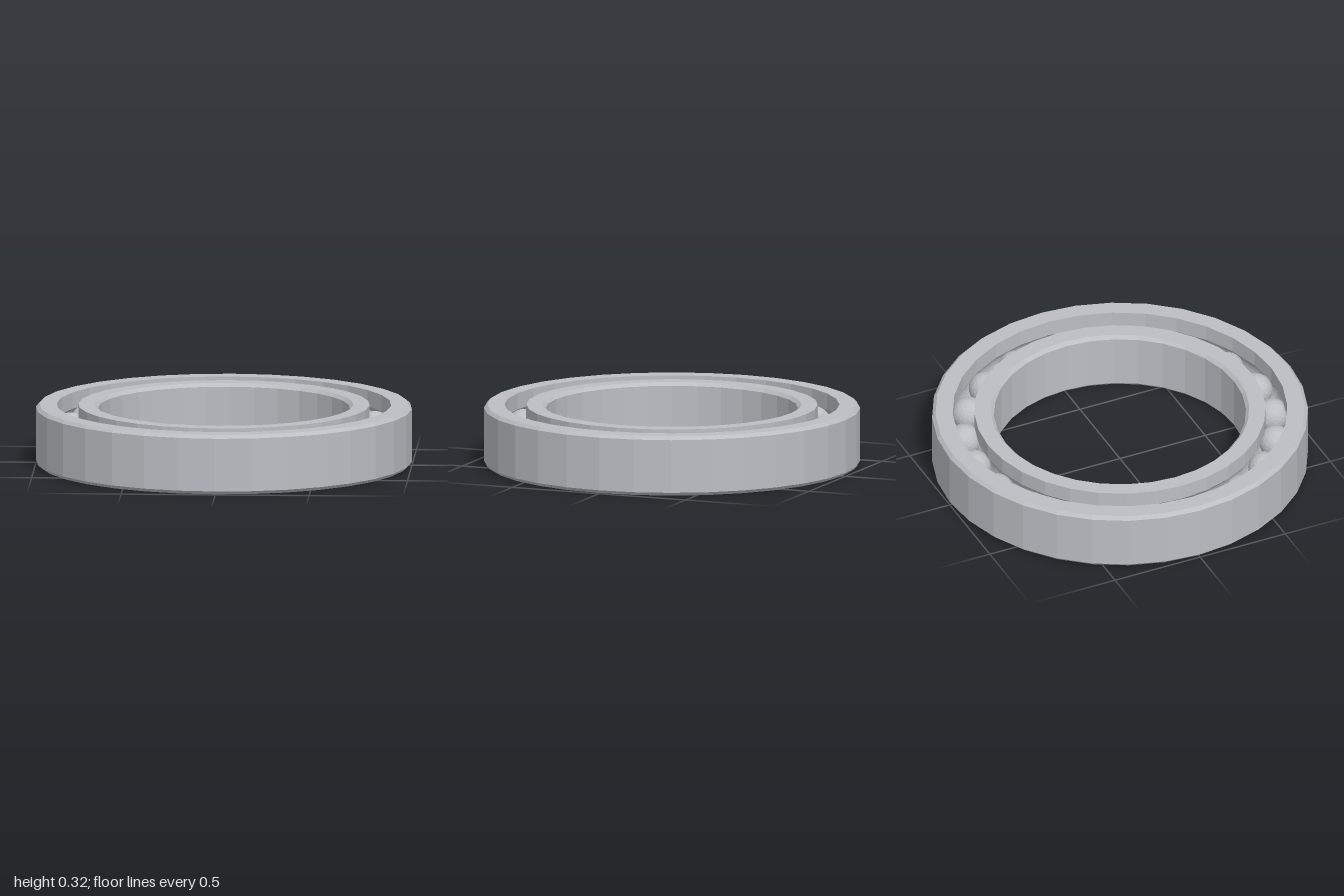
import * as THREE from 'three';

const HEIGHT = 0.32, MID = HEIGHT / 2, CHAMFER = 0.018;
const PITCH = 0.83, BALL_RADIUS = 0.089, GROOVE_RADIUS = 0.094, BALLS = 21;

// Raceway arc cut into the wall at radius r; dir = +1 runs upwards, -1 downwards
function raceway(r, dir) {
  const side = Math.sign(r - PITCH);
  const half = Math.acos(Math.abs(r - PITCH) / GROOVE_RADIUS);
  const points = [];
  for (let i = 0; i <= 8; i++) {
    const a = dir * half * (i / 4 - 1);
    points.push([PITCH + side * GROOVE_RADIUS * Math.cos(a), MID + GROOVE_RADIUS * Math.sin(a)]);
  }
  return points;
}

// Closed counter-clockwise profile turned into a faceted ring
function ring(name, profile, material) {
  const points = [...profile, profile[0]].map(([r, y]) => new THREE.Vector2(r, y));
  const mesh = new THREE.Mesh(new THREE.LatheGeometry(points, 32), material);
  mesh.name = name;
  return mesh;
}

export function createModel() {
  const group = new THREE.Group();
  group.name = 'ballBearing';
  const steel = new THREE.MeshStandardMaterial({ color: 0xbcbec4, flatShading: true });
  steel.name = 'steel';

  // Outer ring: chamfered rim outside, raceway inside
  const lip = 0.89;
  group.add(ring('outerRing', [
    [lip, 0], [1 - CHAMFER, 0], [1, CHAMFER],
    [1, HEIGHT - CHAMFER], [1 - CHAMFER, HEIGHT], [lip, HEIGHT],
    ...raceway(lip, -1),
  ], steel));

  // Inner ring: raceway outside, chamfered bore inside
  const bore = 0.67, shoulder = 0.775;
  group.add(ring('innerRing', [
    [bore + CHAMFER, 0], [shoulder, 0],
    ...raceway(shoulder, 1),
    [shoulder, HEIGHT], [bore + CHAMFER, HEIGHT],
    [bore, HEIGHT - CHAMFER], [bore, CHAMFER],
  ], steel));

  // Balls evenly spaced between the rings
  const balls = new THREE.Group();
  balls.name = 'balls';
  const ballGeometry = new THREE.IcosahedronGeometry(BALL_RADIUS, 3);
  for (let i = 0; i < BALLS; i++) {
    const a = (i / BALLS) * Math.PI * 2;
    const ball = new THREE.Mesh(ballGeometry, steel);
    ball.name = 'ball';
    ball.position.set(PITCH * Math.cos(a), MID, PITCH * Math.sin(a));
    ball.rotation.y = -a;
    balls.add(ball);
  }
  group.add(balls);
  return group;
}
